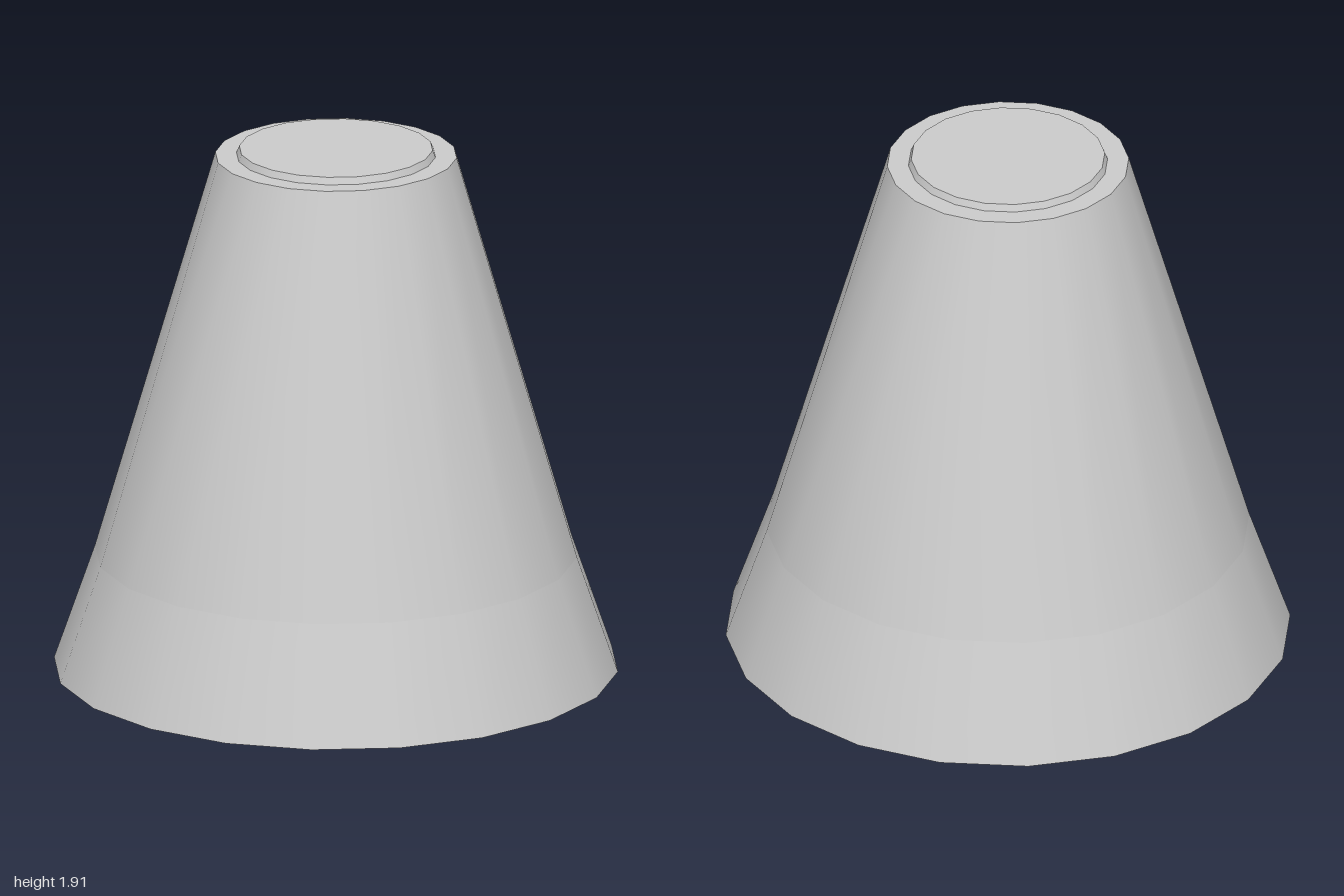
import * as THREE from 'three';

const SIDES = 20;

export function createModel() {
  const model = new THREE.Group();
  const material = new THREE.MeshStandardMaterial({ color: 0xcccccc });

  // Tapered ring or plug standing between two heights
  function frustum(name, bottomRadius, topRadius, y0, y1, open = false) {
    const geometry = new THREE.CylinderGeometry(topRadius, bottomRadius, y1 - y0, SIDES, 1, open);
    const mesh = new THREE.Mesh(geometry, material);
    mesh.name = name;
    mesh.position.y = (y0 + y1) / 2;
    model.add(mesh);
  }

  // Flat end disc, facing up or down
  function disc(name, radius, y, up) {
    const mesh = new THREE.Mesh(new THREE.CircleGeometry(radius, SIDES), material);
    mesh.name = name;
    mesh.rotation.x = up ? -Math.PI / 2 : Math.PI / 2;
    mesh.position.y = y;
    model.add(mesh);
  }

  // Flared foot and the steeper body above it
  disc('base', 1, 0, false);
  frustum('flaredFoot', 1, 0.855, 0, 0.42, true);
  frustum('body', 0.855, 0.428, 0.42, 1.89, true);
  disc('shoulder', 0.428, 1.89, true);

  // Low raised plug on top
  frustum('topPlug', 0.353, 0.343, 1.89, 1.915);

  return model;
}
